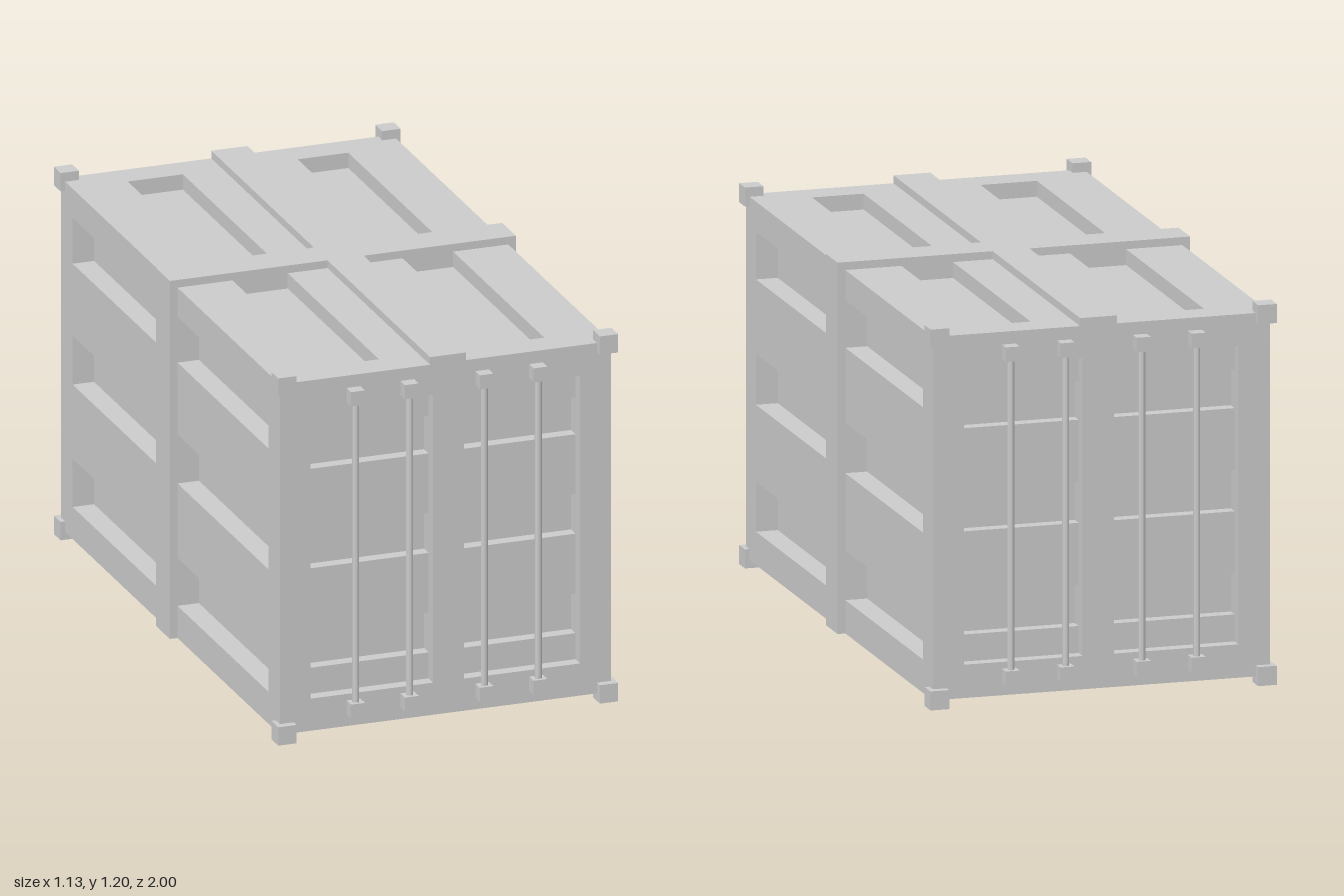
import * as THREE from 'three';

const material = new THREE.MeshStandardMaterial({ color: 0xcccccc, flatShading: true });

// Overall shell limits
const X = 0.54, Z = 0.96, Y0 = 0.025, Y1 = 1.17;
const SIDE = 0.07, ROOF = 0.05, DOOR = 0.04;

export function createModel() {
  const root = new THREE.Group();

  const add = (name, geometry) => {
    const mesh = new THREE.Mesh(geometry, material);
    mesh.name = name;
    root.add(mesh);
    return mesh;
  };

  // Box given by its limits on each axis
  const box = (name, x0, x1, y0, y1, z0, z1) =>
    add(name, new THREE.BoxGeometry(x1 - x0, y1 - y0, z1 - z0))
      .position.set((x0 + x1) / 2, (y0 + y1) / 2, (z0 + z1) / 2);

  const trace = (path, [x0, x1, y0, y1]) => {
    path.moveTo(x0, y0);
    path.lineTo(x1, y0);
    path.lineTo(x1, y1);
    path.lineTo(x0, y1);
    path.closePath();
    return path;
  };

  // Flat plate with rectangular openings, centred on its thickness
  const plate = (rect, holes, depth) => {
    const shape = trace(new THREE.Shape(), rect);
    for (const h of holes) shape.holes.push(trace(new THREE.Path(), h));
    return new THREE.ExtrudeGeometry(shape, { depth, bevelEnabled: false }).translate(0, 0, -depth / 2);
  };

  // Inner core forms the floors of all recesses
  const inX = X - SIDE, inY = Y1 - ROOF, inZ = Z - 2 * DOOR;
  box('core', -inX, inX, Y0, inY, -inZ, inZ);

  // Long side walls: three rows of recesses, split by the middle band
  const sideHoles = [];
  for (const [y0, y1] of [[0.13, 0.287], [0.53, 0.69], [0.925, 1.075]])
    sideHoles.push([-0.86, -0.06, y0, y1], [0.06, 0.86, y0, y1]);
  for (const s of [-1, 1]) {
    const wall = plate([-Z, Z, Y0, Y1], sideHoles, SIDE).rotateY(Math.PI / 2);
    add(s > 0 ? 'leftWall' : 'rightWall', wall).position.x = s * (X - SIDE / 2);
  }

  // Roof with four long recesses
  const roofHoles = [];
  for (const [x0, x1] of [[-0.36, -0.18], [0.195, 0.36]])
    roofHoles.push([x0, x1, -0.86, -0.06], [x0, x1, 0.06, 0.86]);
  add('roof', plate([-inX, inX, -Z, Z], roofHoles, ROOF).rotateX(-Math.PI / 2))
    .position.y = Y1 - ROOF / 2;

  // Door frames, with grooved panels set behind them
  const doors = [[-0.44, -0.04], [0.06, 0.44]];
  const grooves = [[0.215, 0.345], [0.54, 0.67], [0.865, 0.987]];
  const frameHoles = doors.map(([x0, x1]) => [x0, x1, 0.13, 1.07]);
  const grooveHoles = doors.flatMap(([x0, x1]) => grooves.map(([y0, y1]) => [x0, x1, y0, y1]));
  for (const s of [-1, 1]) {
    const end = s > 0 ? 'front' : 'back';
    const rect = [-inX, inX, Y0, inY];
    add(end + 'DoorFrame', plate(rect, frameHoles, DOOR)).position.z = s * (Z - DOOR / 2);
    add(end + 'DoorPanels', plate(rect, grooveHoles, DOOR)).position.z = s * (Z - DOOR * 1.5);

    // Locking rods with end brackets
    for (const x of [-0.3, -0.124, 0.12, 0.296]) {
      add(end + 'LockRod', new THREE.CylinderGeometry(0.011, 0.011, 1, 12))
        .position.set(x, 0.597, s * 0.979);
      for (const y of [0.086, 1.107])
        add(end + 'RodBracket', new THREE.BoxGeometry(0.045, 0.046, 0.045))
          .position.set(x, y, s * 0.9775);
    }
  }

  // Raised bands: around the middle and along the roof
  const BX = 0.565, BY = 1.195, BZ = 0.06;
  box('middleBandTop', -BX, BX, Y1, BY, -BZ, BZ);
  for (const s of [-1, 1]) {
    box('middleBandSide', Math.min(s * X, s * BX), Math.max(s * X, s * BX), Y0, Y1, -BZ, BZ);
    box('roofBand', -0.05, 0.068, Y1, BY, s > 0 ? BZ : -Z, s > 0 ? Z : -BZ);
  }

  // Corner castings
  for (const x of [-0.525, 0.525])
    for (const y of [0.03, 1.17])
      for (const z of [-0.955, 0.955])
        add('cornerBlock', new THREE.BoxGeometry(0.06, 0.06, 0.06)).position.set(x, y, z);

  return root;
}
